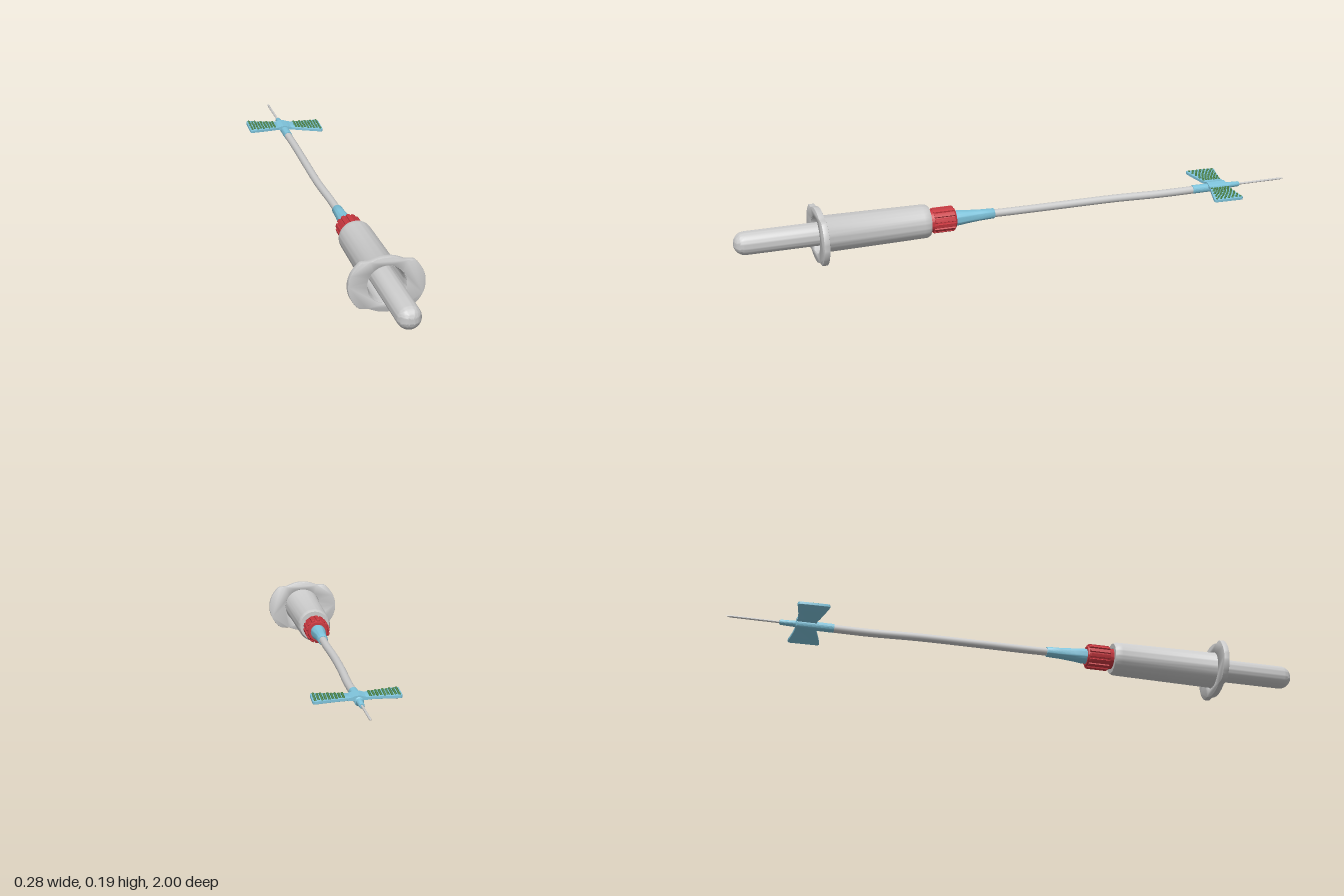
import * as THREE from 'three';
import { mergeGeometries, toCreasedNormals } from 'three/addons/utils/BufferGeometryUtils.js';

const CX = -0.006, CY = 0.094; // main axis, running along z

const mat = (color) => new THREE.MeshStandardMaterial({ color });
const grey = mat(0xcccccc), blue = mat(0x7fc4dc), red = mat(0xc8373f), green = mat(0x3f7a3c);

export function createModel() {
  const model = new THREE.Group();

  function add(name, geometry, material, x = 0, y = 0, z = 0) {
    const mesh = new THREE.Mesh(geometry, material);
    mesh.name = name;
    mesh.position.set(x, y, z);
    model.add(mesh);
    return mesh;
  }

  // Turned part along z; profile is a list of [radius, z] from back to front
  function turned(name, profile, material, x = CX, y = CY, segments = 40) {
    const points = profile.map(([r, z]) => new THREE.Vector2(r, z));
    const geometry = new THREE.LatheGeometry(points, segments).rotateX(Math.PI / 2);
    return add(name, toCreasedNormals(geometry, 0.6), material, x, y);
  }

  // Hollow holder barrel with a chamfered back end and an open front
  turned('holderBarrel', [
    [0.036, 0.335], [0.052, 0.335], [0.057, 0.345], [0.0575, 0.36], [0.062, 0.705], [0.0645, 0.71],
    [0.0645, 0.723], [0.063, 0.723], [0.058, 0.708], [0.054, 0.36], [0.05, 0.347], [0.036, 0.347], [0.036, 0.335],
  ], grey, CX, CY, 56);

  // Finger flange: broad rounded ends, shallow waists, bulge above and below
  const flange = new THREE.Shape();
  flange.moveTo(0.125, 0);
  flange.bezierCurveTo(0.125, 0.032, 0.108, 0.06, 0.087, 0.076);
  flange.bezierCurveTo(0.078, 0.079, 0.066, 0.077, 0.056, 0.079);
  flange.bezierCurveTo(0.036, 0.087, 0.024, 0.0925, 0, 0.0925);
  const quarter = flange.getPoints(10);
  const half = [...quarter, ...quarter.slice(0, -1).reverse().map((p) => new THREE.Vector2(-p.x, p.y))];
  const outline = new THREE.Shape([...half, ...half.slice(1, -1).reverse().map((p) => new THREE.Vector2(p.x, -p.y))]);
  const bore = new THREE.Path();
  bore.absarc(0, 0, 0.064, 0, Math.PI * 2, true);
  outline.holes.push(bore);
  const flangeGeometry = new THREE.ExtrudeGeometry(outline, {
    depth: 0.016, bevelThickness: 0.002, bevelSize: 0.0015, bevelOffset: -0.0015, bevelSegments: 2, curveSegments: 28,
  });
  add('fingerFlange', toCreasedNormals(flangeGeometry, 0.6), grey, CX, CY, 0.707).rotation.z = -0.035;

  // Collection tube with a domed front end
  const dome = [];
  for (let i = 0; i <= 10; i++) {
    const a = (i / 10) * Math.PI / 2;
    dome.push([0.0395 * Math.cos(a), 0.9605 + 0.0395 * Math.sin(a)]);
  }
  turned('collectionTube', [[0, 0.39], [0.034, 0.39], [0.0395, 0.396], ...dome], grey, CX, 0.097);

  // Red locking collar with grip ribs, and its disc inside the barrel
  const ribs = 14, grip = new THREE.Shape();
  for (let i = 0; i < ribs; i++) {
    [[0, 0.039], [0.22, 0.039], [0.32, 0.0435], [0.9, 0.0435]].forEach(([t, r], k) => {
      const a = ((i + t) / ribs) * Math.PI * 2;
      grip[i + k === 0 ? 'moveTo' : 'lineTo'](r * Math.cos(a), r * Math.sin(a));
    });
  }
  const gripGeometry = new THREE.ExtrudeGeometry(grip, {
    depth: 0.068, bevelThickness: 0.003, bevelSize: 0.002, bevelOffset: -0.002, bevelSegments: 1,
  });
  add('lockingCollar', toCreasedNormals(gripGeometry, 0.4), red, CX, 0.092, 0.25);
  turned('collarNeck', [
    [0, 0.242], [0.034, 0.242], [0.038, 0.25], [0.038, 0.323], [0.0355, 0.33], [0.0355, 0.347],
    [0.0485, 0.3475], [0.0485, 0.356], [0, 0.356],
  ], red, CX, 0.092);

  // Tapered blue connector between collar and hose
  turned('connector', [
    [0, 0.1], [0.016, 0.1], [0.0175, 0.103], [0.019, 0.15], [0.023, 0.2], [0.026, 0.225], [0.026, 0.252], [0, 0.252],
  ], blue, CX, 0.091);

  // Flexible hose
  const hosePath = new THREE.CatmullRomCurve3([
    [-0.006, 0.091, 0.12], [-0.006, 0.09, 0.02], [-0.01, 0.088, -0.15], [-0.008, 0.088, -0.35],
    [-0.004, 0.085, -0.52], [-0.004, 0.085, -0.68],
  ].map((p) => new THREE.Vector3(...p)));
  add('hose', new THREE.TubeGeometry(hosePath, 48, 0.0135, 16), grey);

  // Needle hub and needle
  turned('needleHub', [
    [0, -0.822], [0.007, -0.822], [0.009, -0.818], [0.0105, -0.77], [0.015, -0.765], [0.015, -0.64], [0, -0.64],
  ], blue, -0.004, 0.086, 20);
  turned('needle', [[0, -1], [0.0038, -0.985], [0.0038, -0.815], [0, -0.815]], grey, -0.004, 0.086, 12);

  // Winged grip, slightly tilted and turned
  const wings = new THREE.Group();
  wings.name = 'wingedGrip';
  wings.position.set(0, 0.094, -0.73);
  wings.rotation.set(0, -0.036, -0.054);
  model.add(wings);
  const addWing = (name, geometry, material) => {
    const mesh = new THREE.Mesh(geometry, material);
    mesh.name = name;
    wings.add(mesh);
  };

  // Saddle over the needle hub
  const arch = new THREE.Shape();
  arch.moveTo(-0.036, -0.005);
  arch.lineTo(-0.036, 0.004);
  arch.bezierCurveTo(-0.02, 0.004, -0.018, 0.01, -0.004, 0.01);
  arch.bezierCurveTo(0.01, 0.01, 0.014, 0.004, 0.03, 0.004);
  arch.lineTo(0.03, -0.005);
  arch.closePath();
  const saddle = new THREE.ExtrudeGeometry(arch, { depth: 0.068, bevelEnabled: false }).translate(0, 0, -0.036);
  addWing('saddle', toCreasedNormals(saddle, 0.6), blue);

  for (const s of [1, -1]) {
    const side = s > 0 ? 'left' : 'right';

    // Flared blade with rounded tip corners
    const blade = new THREE.Shape();
    blade.moveTo(s * 0.02, -0.034);
    blade.quadraticCurveTo(s * 0.06, -0.034, s * 0.124, -0.047);
    blade.quadraticCurveTo(s * 0.137, -0.049, s * 0.138, -0.038);
    blade.lineTo(s * 0.138, 0.05);
    blade.quadraticCurveTo(s * 0.138, 0.062, s * 0.125, 0.059);
    blade.quadraticCurveTo(s * 0.06, 0.044, s * 0.02, 0.03);
    blade.closePath();
    const bladeGeometry = new THREE.ExtrudeGeometry(blade, {
      depth: 0.007, bevelThickness: 0.0015, bevelSize: 0.0015, bevelOffset: -0.0015, bevelSegments: 2,
    }).rotateX(Math.PI / 2).translate(0, 0.0035, 0);
    addWing(side + 'Wing', toCreasedNormals(bladeGeometry, 0.6), blue);

    // Staggered grip studs on the upper face
    const studs = [];
    for (let i = 0; i < 9; i++) {
      const x = 0.041 + i * 0.011, flare = (x - 0.02) / 0.118;
      const back = -0.027 - 0.012 * flare, front = 0.026 + 0.025 * flare;
      const count = i % 2 ? 6 : 7, inset = i % 2 ? 0.5 : 0;
      for (let j = 0; j < count; j++) {
        const z = back + (front - back) * (j + inset) / 6;
        studs.push(new THREE.SphereGeometry(0.0042, 8, 4, 0, Math.PI * 2, 0, Math.PI / 2).translate(s * x, 0.005, z));
      }
    }
    addWing(side + 'WingStuds', mergeGeometries(studs), green);
  }

  return model;
}
